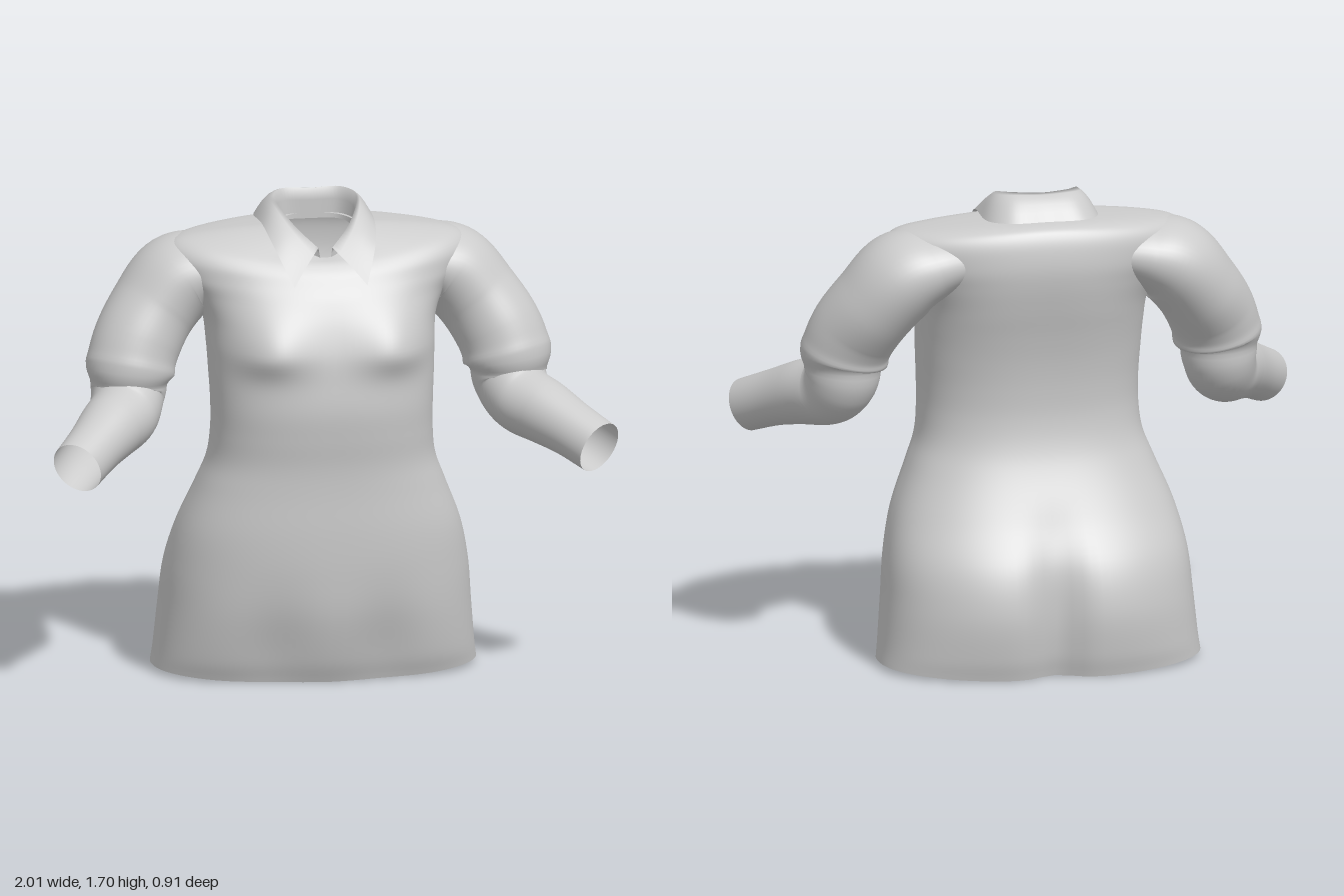
import * as THREE from 'three';

const V = (x, y, z) => new THREE.Vector3(x, y, z);
const spline = (pts) => new THREE.CatmullRomCurve3(pts, false, 'catmullrom', 0.5);
const bell = (d, s) => Math.exp(-(d * d) / (s * s));
const material = new THREE.MeshStandardMaterial({ color: 0xcccccc, side: THREE.DoubleSide });

// Skin a list of point rows; closed rows wrap around
function loft(name, rows, closed) {
  const n = rows[0].length, index = [];
  for (let i = 0; i < rows.length - 1; i++) {
    for (let j = 0; j < (closed ? n : n - 1); j++) {
      const k = (j + 1) % n;
      const a = i * n + j, b = i * n + k, c = a + n, d = b + n;
      index.push(a, c, b, b, c, d);
    }
  }
  const geo = new THREE.BufferGeometry();
  geo.setAttribute('position', new THREE.Float32BufferAttribute(rows.flat().flatMap((p) => p.toArray()), 3));
  geo.setIndex(index);
  geo.computeVertexNormals();
  const mesh = new THREE.Mesh(geo, material);
  mesh.name = name;
  return mesh;
}

// Torso from hem to neckline: front, back and side height, half width, front z, back z
const TORSO = [
  [0.01, 0.01, 0.03, 0.575, 0.215, -0.42],
  [0.1, 0.1, 0.1, 0.565, 0.255, -0.44],
  [0.25, 0.25, 0.25, 0.55, 0.295, -0.45],
  [0.4, 0.4, 0.4, 0.535, 0.312, -0.42],
  [0.55, 0.55, 0.55, 0.5, 0.32, -0.335],
  [0.7, 0.7, 0.7, 0.44, 0.322, -0.262],
  [0.8, 0.8, 0.8, 0.402, 0.328, -0.228],
  [0.9, 0.9, 0.9, 0.39, 0.343, -0.215],
  [1.0, 1.0, 1.0, 0.39, 0.354, -0.22],
  [1.1, 1.1, 1.1, 0.395, 0.35, -0.235],
  [1.2, 1.2, 1.2, 0.4, 0.338, -0.258],
  [1.3, 1.3, 1.3, 0.41, 0.31, -0.285],
  [1.38, 1.39, 1.38, 0.45, 0.275, -0.305],
  [1.43, 1.46, 1.45, 0.51, 0.245, -0.312],
  [1.47, 1.53, 1.52, 0.54, 0.22, -0.305],
  [1.495, 1.575, 1.57, 0.5, 0.198, -0.29],
  [1.51, 1.6, 1.595, 0.38, 0.18, -0.268],
  [1.515, 1.612, 1.61, 0.22, 0.165, -0.225],
  [1.52, 1.615, 1.615, 0.13, 0.145, -0.17],
];

function torso() {
  const heights = spline(TORSO.map((r) => V(r[0], r[1], r[2])));
  const sizes = spline(TORSO.map((r) => V(r[3], r[4], r[5])));
  const rows = [], steps = 108, sides = 112;
  for (let i = 0; i <= steps; i++) {
    const h = heights.getPoint(i / steps), s = sizes.getPoint(i / steps);
    const mid = (s.y + s.z) / 2, half = (s.y - s.z) / 2;
    const row = [];
    // Slightly squared oval below the chest, plain oval at the shoulders
    const power = 2 / (2 + 0.4 * (1 - THREE.MathUtils.smoothstep(h.z, 1.25, 1.5)));
    for (let j = 0; j < sides; j++) {
      const a = (j / sides) * Math.PI * 2, c = Math.cos(a), sn = Math.sin(a);
      const x = s.x * Math.sign(c) * Math.abs(c) ** power;
      const y = h.z + ((sn > 0 ? h.x : h.y) - h.z) * sn * sn;
      let z = mid + half * Math.sign(sn) * Math.abs(sn) ** power;
      const ax = Math.abs(x);
      if (sn > 0) {
        // Bust, tighter underneath, and soft hollows beside the lower belly
        z += 0.062 * sn * bell(ax - 0.25, 0.14) * bell(y - 1.21, y < 1.21 ? 0.075 : 0.14);
        z -= 0.028 * sn * bell(ax - 0.2, 0.13) * bell(y - 0.12, 0.2);
      } else {
        // Seat lobes with a cleft, and a shallow spine groove
        z += 0.06 * bell(x, 0.085) * (1 - THREE.MathUtils.smoothstep(y, 0.2, 0.65));
        z -= 0.014 * bell(ax - 0.24, 0.17) * bell(y - 0.25, 0.25);
        z += 0.01 * bell(x, 0.16) * bell(y - 1.2, 0.35);
      }
      row.push(V(x, y, z));
    }
    rows.push(row);
  }
  return loft('torso', rows, true);
}

// Sleeve growing out of the shoulder, over the elbow to the cuff: centre, radius across, radius in depth
const SLEEVE = [
  [0.28, 1.475, -0.075, 0.1, 0.18],
  [0.39, 1.455, -0.082, 0.128, 0.198],
  [0.49, 1.415, -0.085, 0.155, 0.2],
  [0.578, 1.315, -0.06, 0.152, 0.182],
  [0.643, 1.21, -0.015, 0.155, 0.162],
  [0.672, 1.12, 0.01, 0.152, 0.15],
  [0.682, 1.03, 0.02, 0.13, 0.135],
  [0.71, 0.975, 0.09, 0.122, 0.132],
  [0.775, 0.945, 0.19, 0.114, 0.118],
  [0.85, 0.905, 0.295, 0.1, 0.102],
  [0.93, 0.857, 0.4, 0.095, 0.09],
];

function sleeveRows() {
  const path = spline(SLEEVE.map((r) => V(r[0], r[1], r[2])));
  const radii = spline(SLEEVE.map((r) => V(r[3], r[4], 0)));
  const rows = [], steps = 80, sides = 48;
  for (let i = 0; i <= steps; i++) {
    const t = i / steps, p = path.getPoint(t), r = radii.getPoint(t);
    const dir = path.getTangent(t);
    const u = dir.clone().cross(V(0, 0, 1)).normalize();
    const v = u.clone().cross(dir);
    // Fabric fold at the elbow
    const fold = 1 + 0.04 * bell(t - 0.5, 0.025) - 0.04 * bell(t - 0.55, 0.02);
    rows.push(Array.from({ length: sides }, (_, j) => {
      const a = (j / sides) * Math.PI * 2;
      return p.clone().addScaledVector(u, r.x * fold * Math.cos(a)).addScaledVector(v, r.y * fold * Math.sin(a));
    }));
  }
  return rows;
}

// Collar edges from back centre to the front: stand bottom, fold line, outer edge
const COLLAR = [
  [[0, 1.595, -0.16], [0.09, 1.595, -0.148], [0.125, 1.59, -0.08], [0.115, 1.565, 0.02], [0.07, 1.525, 0.1], [0.015, 1.5, 0.15]],
  [[0, 1.705, -0.155], [0.1, 1.71, -0.145], [0.145, 1.7, -0.08], [0.135, 1.672, 0], [0.09, 1.615, 0.085], [0.025, 1.555, 0.145]],
  [[0, 1.622, -0.252], [0.13, 1.622, -0.25], [0.2, 1.618, -0.17], [0.2, 1.618, 0], [0.18, 1.56, 0.14], [0.13, 1.44, 0.258]],
];

function collar() {
  const edges = COLLAR.map((e) => spline([
    ...e.slice(1).reverse().map(([x, y, z]) => V(-x, y, z)),
    ...e.map((p) => V(...p)),
  ]));
  const rows = [], steps = 70;
  for (let i = 0; i <= steps; i++) {
    const [stand, fold, outer] = edges.map((e) => e.getPoint(i / steps));
    // Rounded roll from the stand over to the outer flap, fuller at the back
    const full = 0.004 + 0.018 * Math.sin((i / steps) * Math.PI) ** 2;
    const flap = (k) => fold.clone().lerp(outer, k).add(V(0, full * Math.sin(k * Math.PI), 0));
    rows.push([stand, stand.clone().lerp(fold, 0.6), fold, flap(0.2), flap(0.4), flap(0.6), flap(0.8), outer]);
  }
  return loft('collar', rows, false);
}

export function createModel() {
  const group = new THREE.Group();
  group.name = 'shirt';
  const rows = sleeveRows();
  const mirrored = rows.map((r) => r.map((p) => V(-p.x, p.y, p.z)).reverse());
  group.add(torso(), loft('leftSleeve', rows, true), loft('rightSleeve', mirrored, true), collar());
  return group;
}
